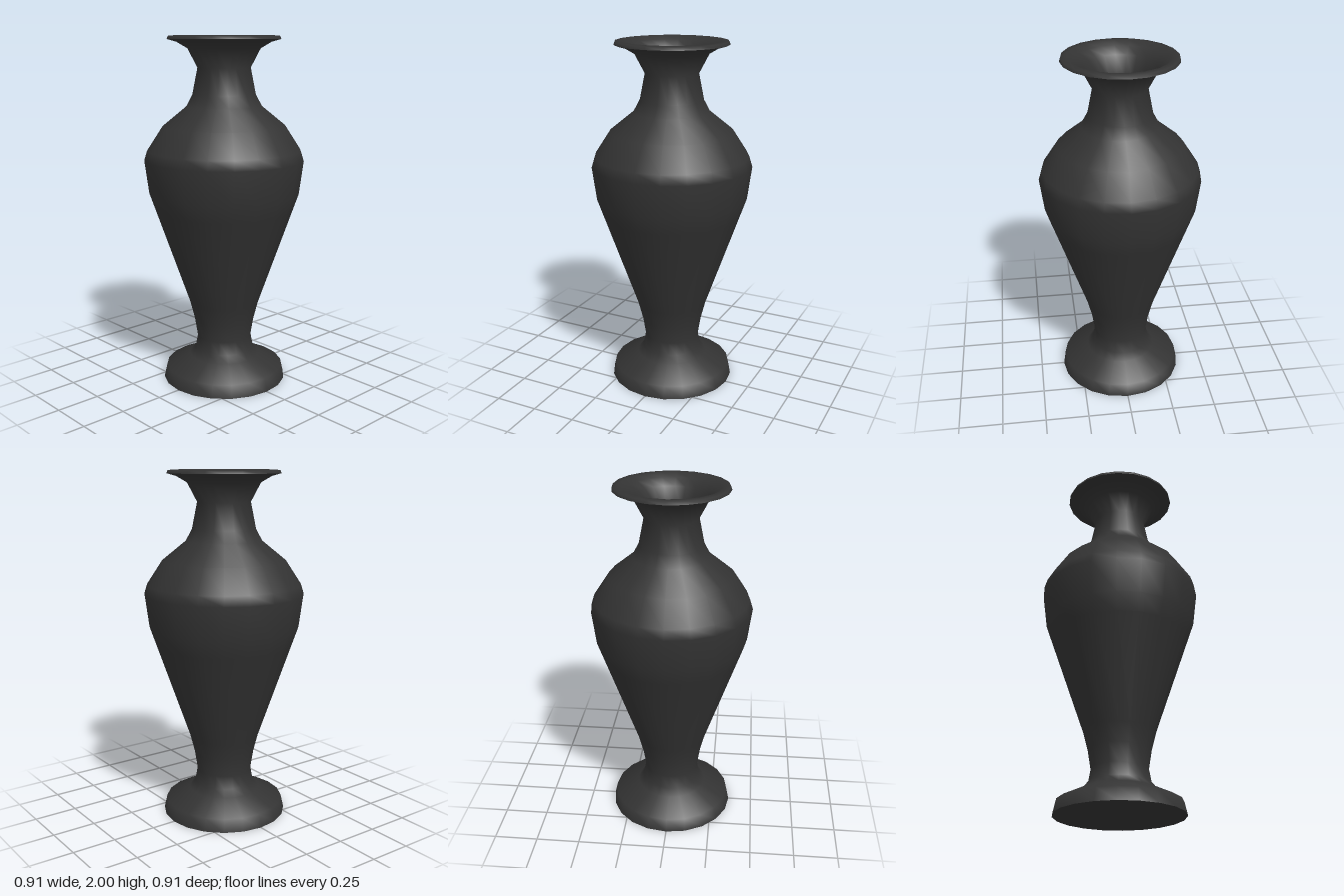
import * as THREE from 'three';

const SIDES = 20;

export function createModel() {
  const group = new THREE.Group();
  group.name = 'vase';
  const material = new THREE.MeshStandardMaterial({ color: 0x333333 });

  const add = (name, geometry, y = 0) => {
    const mesh = new THREE.Mesh(geometry, material);
    mesh.name = name;
    mesh.position.y = y;
    group.add(mesh);
  };
  const turn = (profile) =>
    new THREE.LatheGeometry(profile.map(([r, y]) => new THREE.Vector2(r, y)), SIDES);
  const disc = (radius, facing) =>
    new THREE.CircleGeometry(radius, SIDES).rotateX(-facing * Math.PI / 2);

  // Outer wall: foot, stem, belly, shoulder, neck and flared lip
  add('outerWall', turn([
    [0.36, 0], [0.343, 0.075], [0.205, 0.14], [0.172, 0.18], [0.158, 0.255],
    [0.175, 0.36], [0.202, 0.465], [0.395, 1.02], [0.43, 1.12], [0.455, 1.31],
    [0.438, 1.365], [0.35, 1.5], [0.215, 1.61], [0.18, 1.675], [0.15, 1.825],
    [0.205, 1.93], [0.265, 1.965], [0.318, 1.98],
  ]));

  // Rounded lip and hollow inside, running down to the floor
  add('lipAndInnerWall', turn([
    [0.318, 1.98], [0.312, 1.997], [0.28, 2], [0.25, 1.977], [0.192, 1.942],
    [0.14, 1.83], [0.165, 1.67], [0.203, 1.595], [0.335, 1.485],
    [0.42, 1.355], [0.437, 1.31], [0.413, 1.125], [0.38, 1.03],
    [0.185, 0.47], [0.158, 0.36], [0.127, 0.255],
  ]));

  // Flat floor inside and closed underside of the foot
  add('innerFloor', disc(0.127, 1), 0.255);
  add('footUnderside', disc(0.36, -1));

  return group;
}
